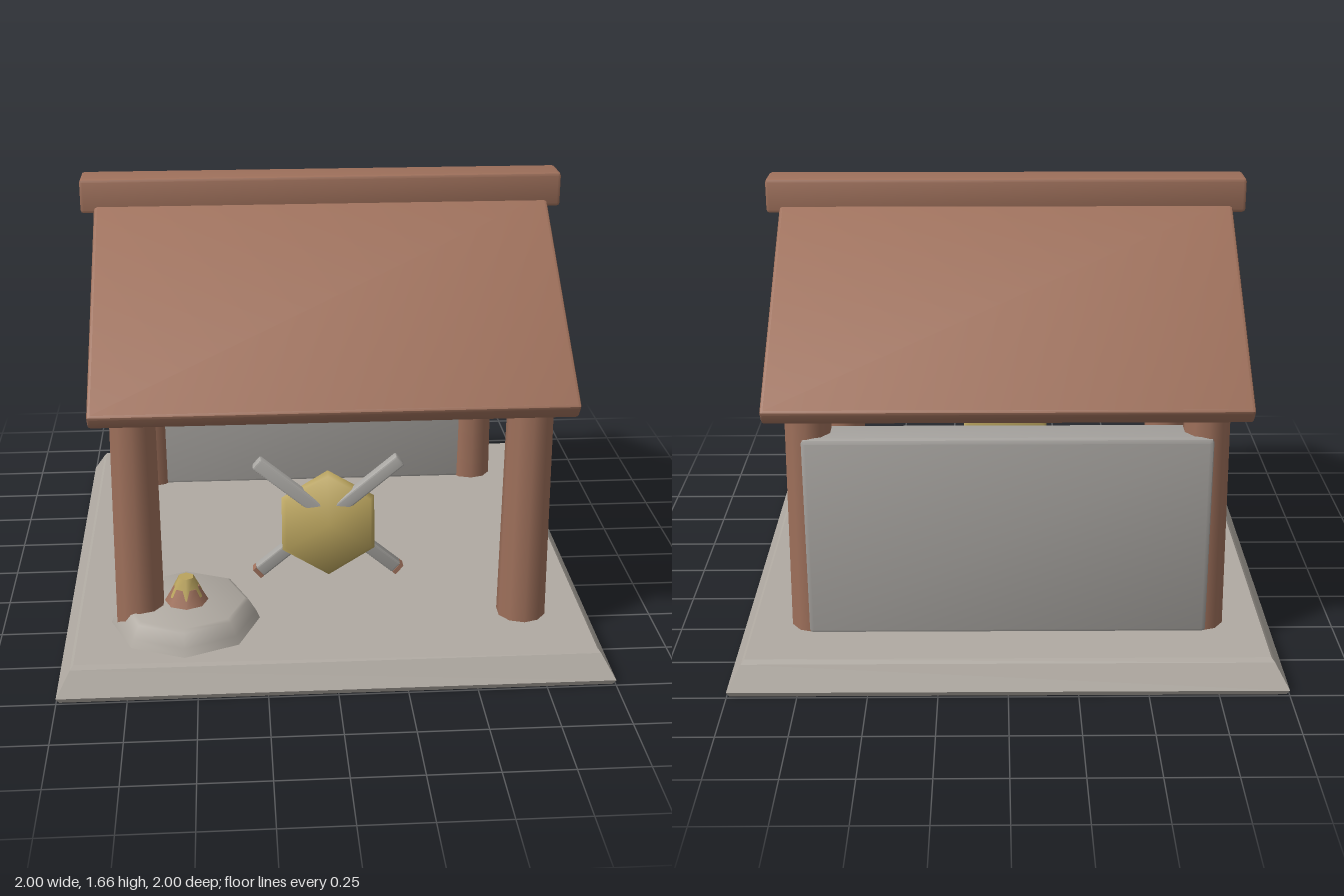
import * as THREE from 'three';
import { toCreasedNormals } from 'three/addons/utils/BufferGeometryUtils.js';
import { RoundedBoxGeometry } from 'three/addons/geometries/RoundedBoxGeometry.js';

const mat = (name, color) => {
  const m = new THREE.MeshStandardMaterial({ color });
  m.name = name;
  return m;
};

export function createModel() {
  const model = new THREE.Group();
  model.name = 'openForge';
  const stone = mat('warm stone', 0xb0aaa2);
  const plaster = mat('grey plaster', 0xa5a29e);
  const wood = mat('red brown wood', 0x9e705b);
  const gold = mat('dull gold', 0xbaa45e);
  const steel = mat('steel', 0xaaa8a4);

  const add = (name, geometry, material, x = 0, y = 0, z = 0, parent = model) => {
    const mesh = new THREE.Mesh(geometry, material);
    mesh.name = name;
    mesh.position.set(x, y, z);
    parent.add(mesh);
    return mesh;
  };
  // Box with a small single-step bevel
  const bevelBox = (w, h, d, r) => toCreasedNormals(new RoundedBoxGeometry(w, h, d, 1, r), 0.4);
  // Lathe from [radius, height] pairs, creased at sharp edges
  const turned = (points, sides, crease) => toCreasedNormals(
    new THREE.LatheGeometry(points.map(([r, y]) => new THREE.Vector2(r, y)), sides), crease);

  // Square plinth with sloping sides
  const plinth = [[0, 0], [0.99, 0], [1, 0.02], [0.95, 0.105], [0.938, 0.12], [0, 0.12]]
    .map(([r, y]) => [r * Math.SQRT2, y]);
  add('plinth', turned(plinth, 4, 0.1), stone).rotation.y = Math.PI / 4;

  // Four corner posts
  for (const x of [-0.71, 0.71]) {
    for (const z of [-0.65, 0.65]) {
      add('post', new THREE.CylinderGeometry(0.083, 0.091, 0.91, 10), wood, x, 0.565, z);
    }
  }

  // Back wall
  add('backWall', bevelBox(1.46, 0.77, 0.155, 0.018), plaster, 0, 0.495, -0.667);

  // Gable panels at both ends
  const gableShape = new THREE.Shape([
    [-0.475, 1], [0.475, 1], [0.07, 1.4], [-0.07, 1.4],
  ].map(([a, b]) => new THREE.Vector2(a, b)));
  for (const x of [-0.76, 0.76]) {
    const geometry = new THREE.ExtrudeGeometry(gableShape, { depth: 0.08, bevelEnabled: false });
    geometry.translate(0, 0, -0.04);
    add('gable', geometry, plaster, x).rotation.y = Math.PI / 2;
  }

  // Roof slopes and ridge beam
  for (const side of [-1, 1]) {
    add('roofSlope', bevelBox(1.71, 0.07, 0.97, 0.012), wood, 0, 1.266, side * 0.415)
      .rotation.x = side * 0.62;
  }
  add('ridgeBeam', bevelBox(1.81, 0.13, 0.14, 0.012), wood, 0, 1.595, 0);

  // Octagonal hearth with a small glowing mound
  const hearth = [[0, 0], [0.275, 0], [0.262, 0.03], [0.235, 0.076], [0.22, 0.085], [0, 0.085]];
  add('hearth', turned(hearth, 8, 0.85), stone, -0.545, 0.12, 0.64);
  add('ember', new THREE.CylinderGeometry(0.048, 0.082, 0.06, 8), wood, -0.54, 0.232, 0.64);
  add('flame', new THREE.CylinderGeometry(0.03, 0.066, 0.07, 6), gold, -0.54, 0.266, 0.64);

  // Crossed blades with wooden butts
  for (const side of [-1, 1]) {
    const blade = new THREE.Group();
    blade.name = 'crossedBlade';
    blade.position.set(0, 0.425, 0.417);
    blade.rotation.z = -side * 0.87;
    model.add(blade);
    add('blade', bevelBox(0.05, 0.7, 0.045, 0.007), steel, 0, 0.005, 0, blade);
    add('bladeButt', new THREE.BoxGeometry(0.046, 0.016, 0.042), wood, 0, -0.352, 0, blade);
  }

  // Leaning hexagonal shield, slightly domed towards the front
  const shieldProfile = [[0, -0.025], [0.19, -0.025], [0.204, -0.01], [0.185, 0.016], [0, 0.026]];
  const shield = turned(shieldProfile, 6, 1.1);
  shield.rotateX(Math.PI / 2);
  add('shield', shield, gold, 0, 0.4, 0.433).rotation.x = -0.2;

  return model;
}
